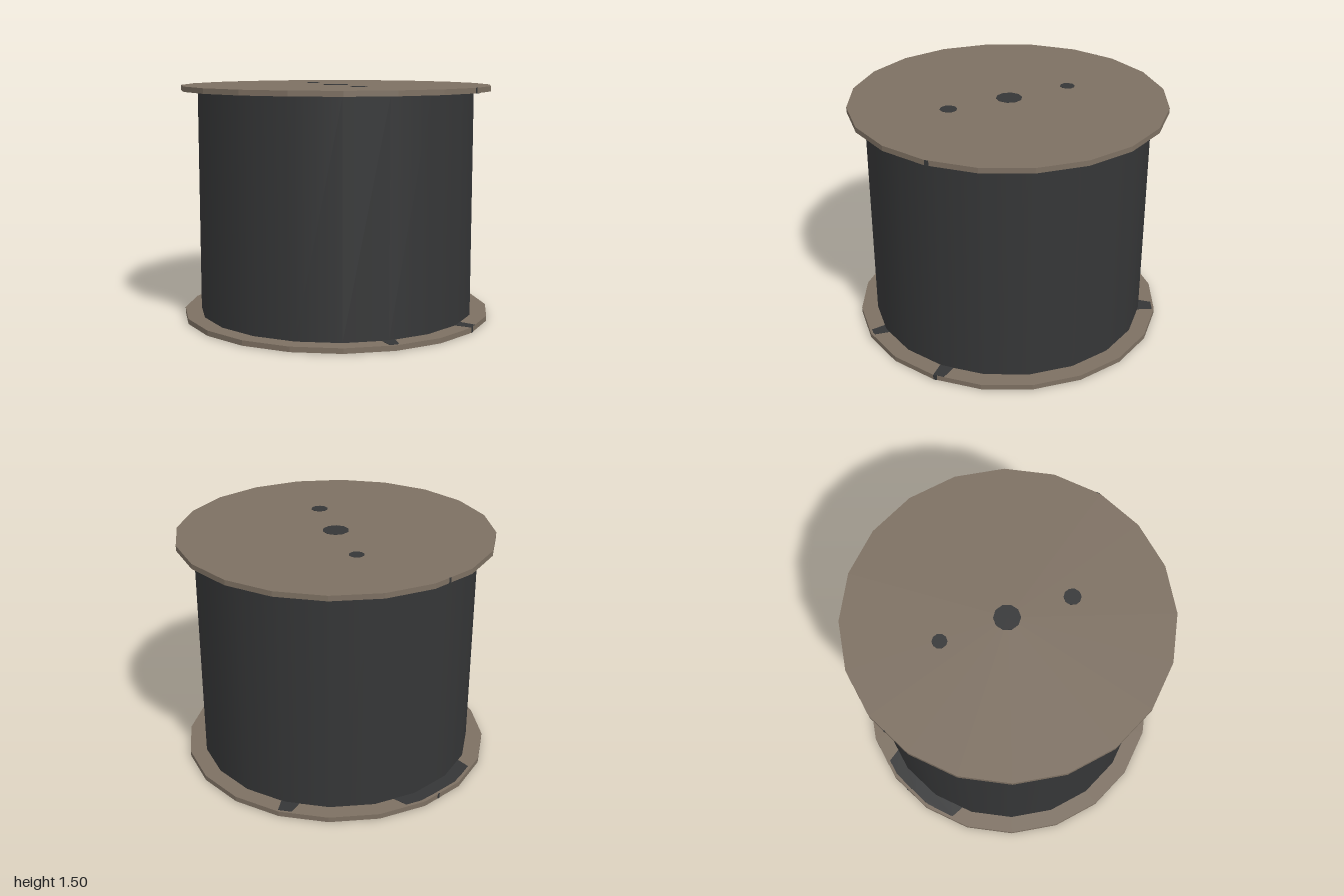
import * as THREE from 'three';

const SIDES = 20, HEIGHT = 1.5, THICK = 0.033, DRUM_R = 0.893, PLATE = 0.004;

const wood = new THREE.MeshStandardMaterial({ color: 0x7d7062, flatShading: true });
wood.name = 'weathered wood';
const dark = new THREE.MeshStandardMaterial({ color: 0x353637 });
dark.name = 'dark cable';

const rad = THREE.MathUtils.degToRad;
const facet = (Math.PI * 2) / SIDES;

// distance from the axis to the polygonal rim at an angle (measured from +x towards +z)
function rimRadius(a) {
  const local = a - Math.floor(a / facet) * facet - facet / 2;
  return Math.cos(facet / 2) / Math.cos(local);
}

function add(group, name, geometry, material, x = 0, y = 0, z = 0) {
  const mesh = new THREE.Mesh(geometry, material);
  mesh.name = name;
  mesh.position.set(x, y, z);
  group.add(mesh);
  return mesh;
}

// thin stain between the drum and the rim, narrowing from inner to outer angles
function stainGeometry([in0, in1, out0, out1, reach]) {
  const pts = [];
  const steps = 6;
  for (let i = 0; i <= steps; i++) {
    const a = rad(THREE.MathUtils.lerp(in0, in1, i / steps));
    pts.push(new THREE.Vector2(Math.cos(a) * 0.87, Math.sin(a) * 0.87));
  }
  for (let i = steps; i >= 0; i--) {
    const a = rad(THREE.MathUtils.lerp(out0, out1, i / steps));
    const r = rimRadius(a) * reach;
    pts.push(new THREE.Vector2(Math.cos(a) * r, Math.sin(a) * r));
  }
  const geo = new THREE.ExtrudeGeometry(new THREE.Shape(pts), { depth: PLATE, bevelEnabled: false });
  return geo.rotateX(Math.PI / 2).translate(0, PLATE / 2, 0);
}

// inner start, inner end, outer start, outer end (degrees), share of the rim radius reached
const stains = [
  [-5, 1, -4, 0, 0.999],
  [33, 39, 34.5, 38, 0.985],
  [246, 254, 247.5, 252.5, 0.985],
  [166, 208, 169, 205, 0.98],
];

function createFlange(name, yBottom, outerY, innerY, holes) {
  const flange = new THREE.Group();
  flange.name = name;
  add(flange, 'flangeDisc', new THREE.CylinderGeometry(1, 1, THICK, SIDES), wood, 0, yBottom + THICK / 2, 0);

  // dark bolt and axle holes on the outer face
  for (const [x, z, r] of holes) {
    add(flange, 'hole', new THREE.CylinderGeometry(r, r, PLATE, 10), dark, x, outerY, z);
  }

  // dark stains on the inner face
  for (const s of stains) add(flange, 'stain', stainGeometry(s), dark, 0, innerY, 0);

  // narrow marks on the rim
  for (const [deg, width] of [[-0.7, 0.024], [191, 0.016]]) {
    const a = rad(deg), r = rimRadius(a);
    const mid = (Math.floor(a / facet) + 0.5) * facet;
    const mark = add(flange, 'rimMark', new THREE.BoxGeometry(PLATE, THICK, width), dark,
      Math.cos(a) * r, yBottom + THICK / 2, Math.sin(a) * r);
    mark.rotation.y = -mid;
  }
  return flange;
}

export function createModel() {
  const model = new THREE.Group();
  model.name = 'cableSpool';

  // wound cable body
  add(model, 'drum', new THREE.CylinderGeometry(DRUM_R, DRUM_R, HEIGHT - 2 * THICK, SIDES, 1, true),
    dark, 0, HEIGHT / 2, 0);

  model.add(createFlange('topFlange', HEIGHT - THICK, HEIGHT, HEIGHT - THICK,
    [[-0.005, -0.005, 0.083], [-0.353, -0.245, 0.047], [0.325, 0.24, 0.054]]));
  model.add(createFlange('bottomFlange', 0, 0, THICK,
    [[0, 0, 0.081], [0.35, 0.22, 0.047], [-0.365, -0.21, 0.04]]));

  // rest exactly on the ground
  model.position.y = PLATE / 2;
  const root = new THREE.Group();
  root.name = 'spool';
  root.add(model);
  return root;
}
